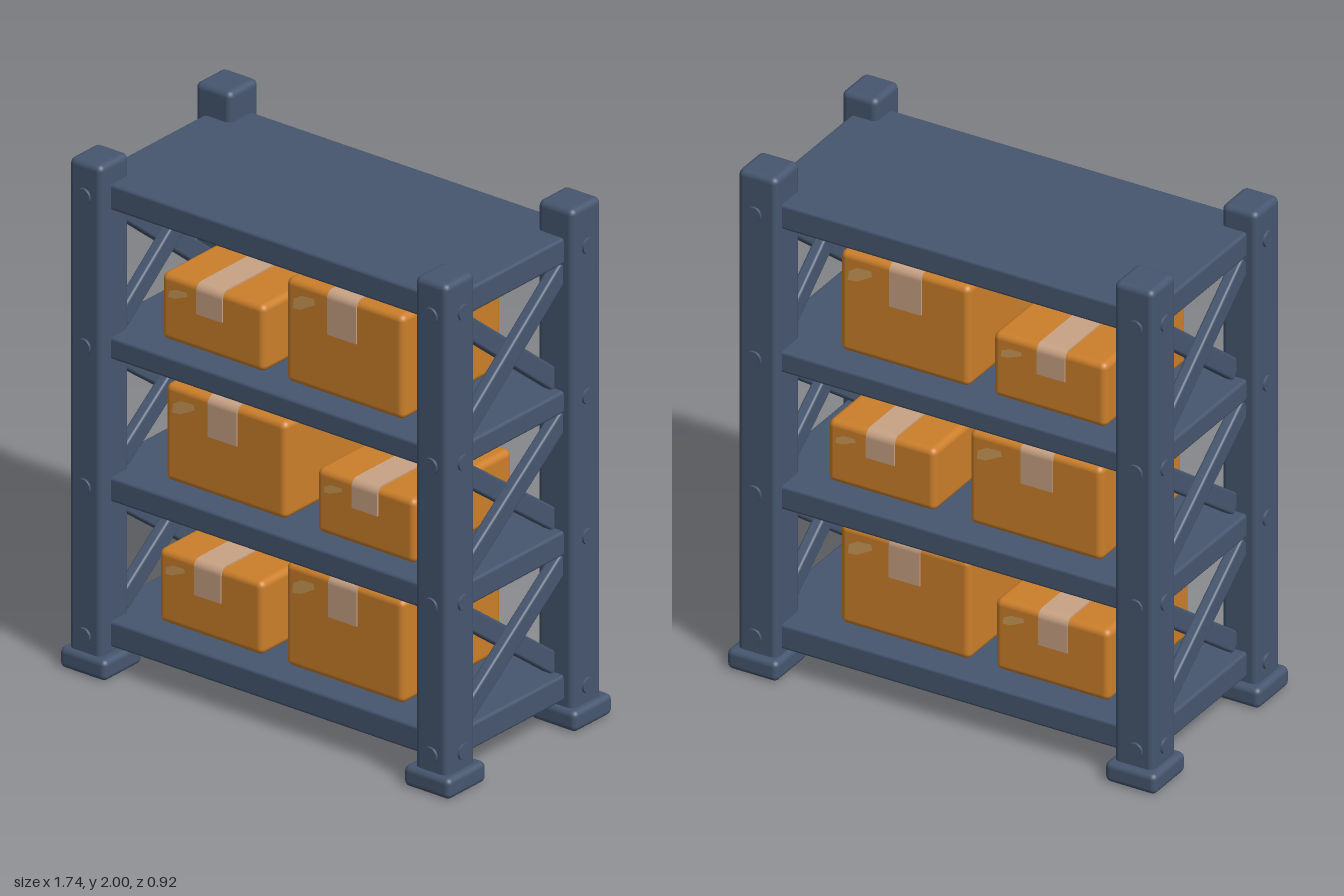
import * as THREE from 'three';
import { RoundedBoxGeometry } from 'three/addons/geometries/RoundedBoxGeometry.js';

const mat = (name, color) => {
  const m = new THREE.MeshStandardMaterial({ color });
  m.name = name;
  return m;
};

export function createModel() {
  const steel = mat('steelBlue', 0x46566f);
  const card = mat('cardboardOrange', 0xcc7f2a);
  const tapeMat = mat('packingTape', 0xc9a284);
  const shineMat = mat('paleScuff', 0xd09c58);
  const root = new THREE.Group();
  root.name = 'storageRack';

  const add = (name, geo, material, x = 0, y = 0, z = 0, parent = root) => {
    const m = new THREE.Mesh(geo, material);
    m.name = name;
    m.position.set(x, y, z);
    parent.add(m);
    return m;
  };
  // Rounded box given by its limits on each axis
  const block = (name, material, [x0, x1], [y0, y1], [z0, z1], r, parent = root) =>
    add(name, new RoundedBoxGeometry(x1 - x0, y1 - y0, z1 - z0, 3, r), material,
      (x0 + x1) / 2, (y0 + y1) / 2, (z0 + z1) / 2, parent);
  const span = (s, a, b) => (s > 0 ? [a, b] : [-b, -a]);

  // Shelves
  const shelves = [[0.1, 0.2], [0.66, 0.755], [1.21, 1.295], [1.785, 1.885]];
  shelves.forEach((y) => block('shelf', steel, [-0.805, 0.805], y, [-0.39, 0.38], 0.012));

  // Corner posts with feet and bolts
  const boltGeo = new THREE.CylinderGeometry(0.029, 0.034, 0.03, 20);
  const boltHeights = [0.145, 0.72, 1.26, 1.84];
  for (const sx of [-1, 1]) {
    for (const sz of [-1, 1]) {
      const front = sz > 0;
      const outX = 0.845, outZ = front ? 0.437 : 0.428;
      block('post', steel, span(sx, front ? 0.7 : 0.685, outX), [0.05, front ? 1.97 : 2],
        span(sz, front ? 0.275 : 0.265, outZ), 0.024);
      block('foot', steel, span(sx, 0.665, 0.872), [0, 0.08], span(sz, 0.245, 0.458), 0.022);
      for (const y of boltHeights) {
        add('sideBolt', boltGeo, steel, sx * (outX - 0.007), y, sz * 0.346).rotation.z = -sx * Math.PI / 2;
        add('faceBolt', boltGeo, steel, sx * 0.775, y, sz * (outZ - 0.007)).rotation.x = sz * Math.PI / 2;
      }
    }
  }

  // Crossed braces in every bay; the far end is the near end turned half round
  for (const turn of [0, Math.PI]) {
    const end = new THREE.Group();
    end.name = 'braceFrame';
    end.rotation.y = turn;
    root.add(end);
    for (let i = 0; i < 3; i++) {
      const y0 = shelves[i][1], y1 = shelves[i + 1][0];
      const rise = y1 - y0 - 0.055, run = 0.55;
      for (const s of [1, -1]) {
        const geo = new RoundedBoxGeometry(0.045, 0.078, Math.hypot(rise, run) + 0.02, 2, 0.01);
        const brace = add('brace', geo, steel, s > 0 ? 0.78 : 0.742, (y0 + y1) / 2, 0, end);
        brace.rotation.x = s * Math.atan2(rise, run);
      }
    }
  }

  // Tape strip: a thin band down the front, over the top and down the back
  const tapeGeo = (width, h, drop, d) => {
    const t = 0.006, r = 0.025, low = h - drop;
    const s = new THREE.Shape();
    s.moveTo(d + t, low);
    s.lineTo(d + t, h - r);
    s.absarc(d - r, h - r, r + t, 0, Math.PI / 2, false);
    s.lineTo(-d + r, h + t);
    s.absarc(-d + r, h - r, r + t, Math.PI / 2, Math.PI, false);
    s.lineTo(-d - t, low);
    s.lineTo(-d + t, low);
    s.lineTo(-d + t, h - r);
    s.absarc(-d + r, h - r, r - t, Math.PI, Math.PI / 2, true);
    s.lineTo(d - r, h - t);
    s.absarc(d - r, h - r, r - t, Math.PI / 2, 0, true);
    s.lineTo(d - t, low);
    return new THREE.ExtrudeGeometry(s, { depth: width, bevelEnabled: false, curveSegments: 5 })
      .translate(0, 0, -width / 2).rotateY(-Math.PI / 2);
  };

  // Small slanted scuff near an upper corner
  const scuffGeo = (w, h) => {
    const s = new THREE.Shape();
    const pts = [[0, 0], [0.35, 0.05], [1, 0.65], [0.95, 1], [0.4, 0.95], [0.05, 0.6]];
    pts.forEach(([x, y], i) => (i ? s.lineTo(x * w, y * h) : s.moveTo(x * w, y * h)));
    return new THREE.ShapeGeometry(s);
  };

  // Boxes: x0, x1, base, top, tape centre, tape width, tape drop
  const boxes = [
    [-0.575, -0.11, 0.198, 0.482, -0.35, 0.12, 0.13],
    [-0.008, 0.52, 0.198, 0.597, 0.253, 0.126, 0.153],
    [-0.545, -0.005, 0.753, 1.128, -0.284, 0.13, 0.148],
    [0.132, 0.57, 0.753, 1.002, 0.352, 0.115, 0.105],
    [-0.562, -0.102, 1.293, 1.55, -0.342, 0.115, 0.112],
    [-0.006, 0.52, 1.293, 1.695, 0.25, 0.13, 0.162],
  ];
  const d = 0.275;
  boxes.forEach(([x0, x1, y0, y1, tx, tw, drop]) => {
    const w = x1 - x0, h = y1 - y0;
    const parcel = new THREE.Group();
    parcel.name = 'parcel';
    parcel.position.set((x0 + x1) / 2, y0, 0);
    root.add(parcel);
    block('carton', card, [-w / 2, w / 2], [0, h], [-d, d], 0.025, parcel);
    add('tape', tapeGeo(tw, h, drop, d), tapeMat, tx - (x0 + x1) / 2, 0, 0, parcel);
    for (const turn of [0, Math.PI]) {
      const side = new THREE.Group();
      side.name = 'scuffSide';
      side.rotation.y = turn;
      parcel.add(side);
      const sh = h * 0.155;
      add('scuff', scuffGeo(w * 0.19, sh), shineMat, -w / 2 + 0.035, h - 0.045 - sh, d + 0.003, side);
    }
  });

  return root;
}
